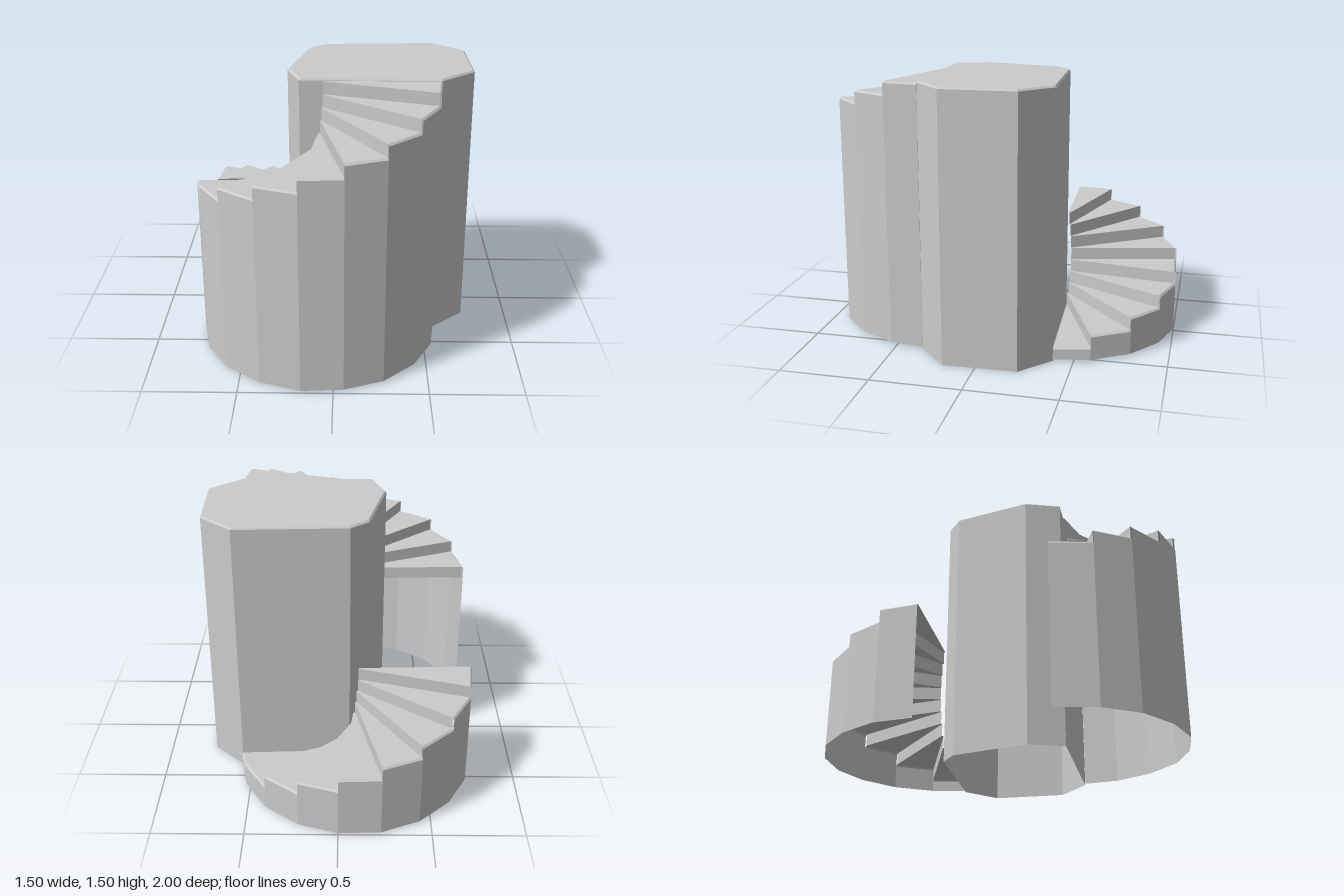
import * as THREE from 'three';

const BASE = 0.01, CHAMFER = 0.01, RISE = 0.07;
const material = new THREE.MeshStandardMaterial({
  color: 0xcccccc, flatShading: true, side: THREE.DoubleSide,
});

// Mesh made of separate four-cornered panels
function panelMesh(name, panels) {
  const positions = [];
  for (const [a, b, c, d] of panels) positions.push(...a, ...b, ...c, ...a, ...c, ...d);
  const geometry = new THREE.BufferGeometry();
  geometry.setAttribute('position', new THREE.Float32BufferAttribute(positions, 3));
  geometry.computeVertexNormals();
  const mesh = new THREE.Mesh(geometry, material);
  mesh.name = name;
  return mesh;
}

const at = ([x, z], y) => [x, y, z];

// Move a plan point a given distance from the centre towards it
function towards(centre, p, distance) {
  const dx = p[0] - centre[0], dz = p[1] - centre[1];
  const k = distance / Math.hypot(dx, dz);
  return [centre[0] + dx * k, centre[1] + dz * k];
}
const inset = (centre, p) =>
  towards(centre, p, Math.hypot(p[0] - centre[0], p[1] - centre[1]) - CHAMFER);

// Fan of wedge steps climbing around a hub, open underneath
function createFlight(name, hub, rim, firstHeight) {
  const flight = new THREE.Group();
  flight.name = name;
  for (let i = 0; i < rim.length - 1; i++) {
    const h = firstHeight + i * RISE;
    const a = rim[i], b = rim[i + 1];
    const innerA = towards(hub, a, 0.025), innerB = towards(hub, b, 0.025);
    const edgeA = inset(hub, a), edgeB = inset(hub, b);
    const step = new THREE.Group();
    step.name = `step${i + 1}`;
    step.add(
      panelMesh('tread', [[at(innerA, h), at(innerB, h), at(edgeB, h), at(edgeA, h)]]),
      panelMesh('riser', [[at(innerA, h - RISE), at(innerA, h), at(edgeA, h), at(edgeA, h - RISE)]]),
      panelMesh('outerWall', [
        [at(a, BASE), at(b, BASE), at(b, h - CHAMFER), at(a, h - CHAMFER)],
        [at(a, h - CHAMFER), at(b, h - CHAMFER), at(edgeB, h), at(edgeA, h)],
      ]),
    );
    flight.add(step);
  }
  return flight;
}

// Hollow irregular tower with a flat, chamfered top
function createTower(outline, height) {
  const centre = [0.25, 0];
  const panels = [];
  outline.forEach((a, i) => {
    const b = outline[(i + 1) % outline.length];
    const ea = inset(centre, a), eb = inset(centre, b);
    const shoulder = height - CHAMFER;
    panels.push(
      [at(a, 0), at(a, shoulder), at(b, shoulder), at(b, 0)],
      [at(a, shoulder), at(ea, height), at(eb, height), at(b, shoulder)],
    );
  });
  const tower = new THREE.Group();
  tower.name = 'tower';
  tower.add(panelMesh('towerWall', panels));

  const shape = new THREE.Shape(outline.map((p) => {
    const [x, z] = inset(centre, p);
    return new THREE.Vector2(x, -z);
  }));
  const top = new THREE.Mesh(new THREE.ShapeGeometry(shape), material);
  top.name = 'towerTop';
  top.rotation.x = -Math.PI / 2;
  top.position.y = height;
  tower.add(top);
  return tower;
}

export function createModel() {
  const model = new THREE.Group();
  model.name = 'spiralStairTower';

  model.add(createTower([
    [-0.16, -0.28], [-0.06, -0.36], [0.56, -0.39], [0.735, -0.23],
    [0.745, 0.18], [0.56, 0.345], [-0.19, 0.345], [-0.26, 0.15],
  ], 1.497));

  // Lower flight climbs around the back
  model.add(createFlight('lowerFlight', [-0.085, -0.355], [
    [0.565, -0.39], [0.525, -0.59], [0.4, -0.79], [0.215, -0.93], [0, -1],
    [-0.23, -0.99], [-0.44, -0.9], [-0.61, -0.74], [-0.72, -0.54], [-0.745, -0.33],
  ], 0.08));

  // Upper flight climbs around the front to the tower top
  model.add(createFlight('upperFlight', [-0.085, 0.345], [
    [-0.75, 0.36], [-0.7, 0.59], [-0.58, 0.78], [-0.39, 0.92], [-0.17, 0.995],
    [0.055, 0.98], [0.265, 0.9], [0.435, 0.74], [0.54, 0.54], [0.565, 0.345],
  ], 0.925));

  return model;
}
